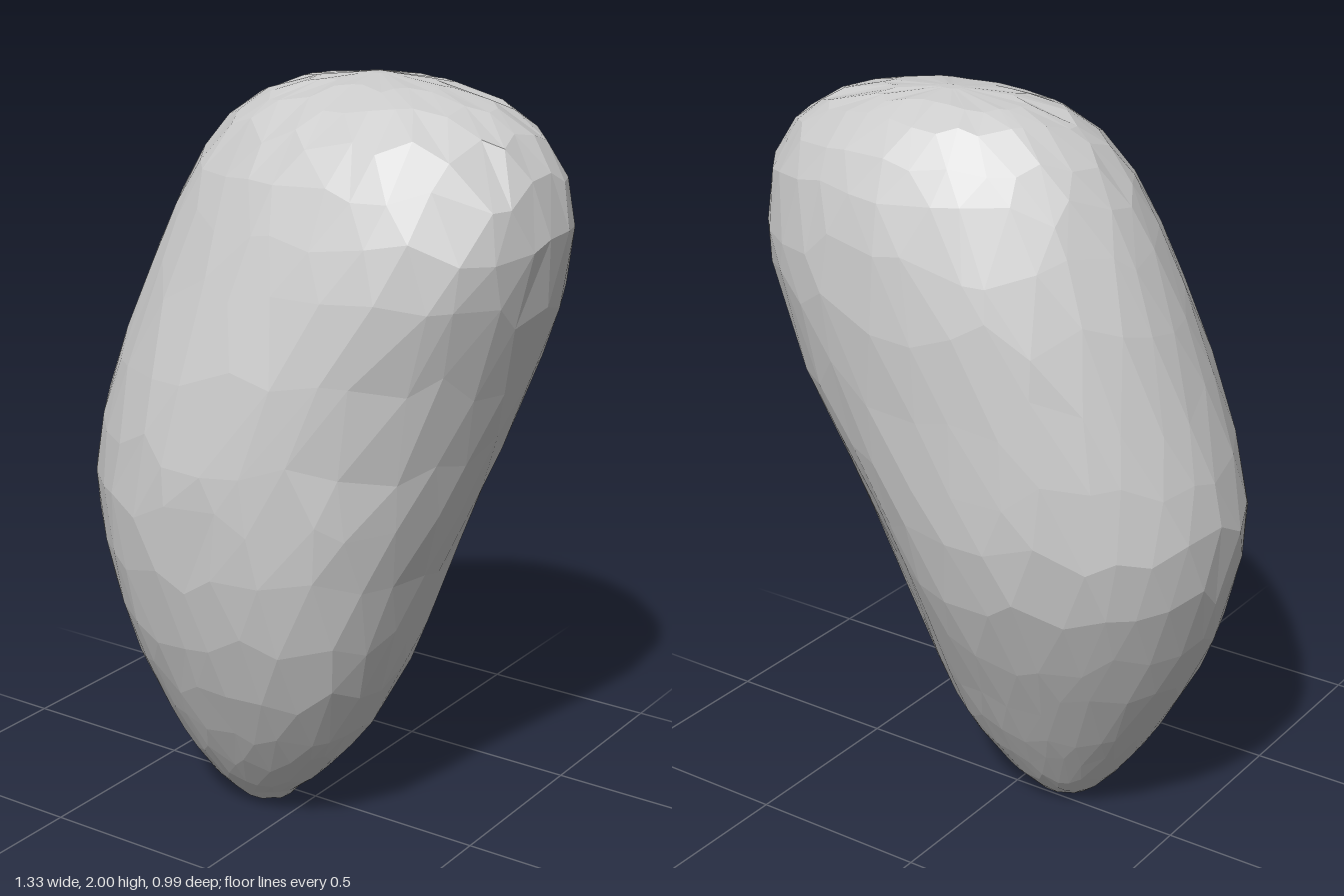
import * as THREE from 'three';

// Cross-sections from the tip up: y, right x, left x, front z, back z
const SECTIONS = [
  [0.00, -0.15, -0.09, 0.08, 0.03],
  [0.012, -0.20, -0.05, 0.12, -0.01],
  [0.05, -0.245, -0.02, 0.155, -0.05],
  [0.10, -0.29, 0.045, 0.205, -0.095],
  [0.20, -0.365, 0.135, 0.275, -0.16],
  [0.30, -0.43, 0.21, 0.33, -0.22],
  [0.45, -0.52, 0.288, 0.40, -0.295],
  [0.60, -0.585, 0.338, 0.452, -0.37],
  [0.80, -0.65, 0.398, 0.49, -0.45],
  [0.95, -0.67, 0.458, 0.497, -0.475],
  [1.10, -0.638, 0.513, 0.49, -0.485],
  [1.30, -0.57, 0.583, 0.45, -0.49],
  [1.50, -0.495, 0.645, 0.385, -0.497],
  [1.65, -0.43, 0.665, 0.335, -0.48],
  [1.78, -0.365, 0.64, 0.28, -0.445],
  [1.88, -0.29, 0.57, 0.21, -0.395],
  [1.95, -0.20, 0.45, 0.11, -0.335],
  [1.985, -0.09, 0.30, 0.01, -0.265],
  [2.00, 0.07, 0.13, -0.12, -0.16],
];
const SEGMENTS = 30;

// Smooth swelling of a given height around a level of the rock
const hump = (y, level, reach, height) =>
  height * Math.max(0, 1 - ((y - level) / reach) ** 2);

// Small seeded generator for the irregular facets
function seeded(seed) {
  return () => {
    seed = (seed * 16807) % 2147483647;
    return seed / 2147483647 - 0.5;
  };
}

// Fullness of the corner between two neighbouring extremes
function cornerFullness(y, left, front) {
  if (left && front) return hump(y, 0.55, 0.55, 0.12) + hump(y, 1.72, 0.4, 0.1);
  if (left) return hump(y, 0.7, 0.5, -0.13);
  return front ? hump(y, 0.75, 0.7, -0.06) : 0;
}

// Point on the skin at section position t and angle a
function skin(t, a) {
  const i = Math.min(Math.floor(t), SECTIONS.length - 2);
  const [y, x0, x1, z1, z0] = SECTIONS[i].map((v, k) =>
    THREE.MathUtils.lerp(v, SECTIONS[i + 1][k], t - i));
  // The widest line sits further back around the belly
  const cx = (x0 + x1) / 2;
  const cz = (z0 + z1) / 2 - hump(y, 0.95, 0.75, 0.055);
  const c = Math.cos(a), s = Math.sin(a);
  const f = 1 + cornerFullness(y, c > 0, s > 0) * Math.sin(2 * a) ** 2;
  return [cx + f * c * (x1 - x0) / 2, y, cz + f * s * (s > 0 ? z1 - cz : cz - z0)];
}

function boulderGeometry() {
  const rand = seeded(41);
  const rows = SECTIONS.length;
  const points = [];
  const index = [];
  for (let r = 0; r < rows; r++) {
    const jitter = r > 0 && r < rows - 1 ? 0.55 : 0;
    for (let j = 0; j < SEGMENTS; j++) {
      const t = r + rand() * jitter;
      const a = (j + (r % 2) * 0.5 + rand() * jitter) / SEGMENTS * Math.PI * 2;
      points.push(...skin(t, a));
    }
  }
  // Skin between neighbouring rings
  for (let r = 0; r < rows - 1; r++) {
    for (let j = 0; j < SEGMENTS; j++) {
      const k = (j + 1) % SEGMENTS;
      const a = r * SEGMENTS + j, b = r * SEGMENTS + k;
      const c = a + SEGMENTS, d = b + SEGMENTS;
      if (r % 2) index.push(a, c, d, a, d, b);
      else index.push(a, c, b, b, c, d);
    }
  }
  // Closing fans at the tip and the crown
  const last = (rows - 1) * SEGMENTS;
  for (let j = 1; j < SEGMENTS - 1; j++) {
    index.push(0, j, j + 1, last, last + j + 1, last + j);
  }
  const geometry = new THREE.BufferGeometry();
  geometry.setAttribute('position', new THREE.Float32BufferAttribute(points, 3));
  geometry.setIndex(index);
  geometry.computeVertexNormals();
  return geometry;
}

export function createModel() {
  const group = new THREE.Group();
  group.name = 'rock';
  const material = new THREE.MeshStandardMaterial({ color: 0xcccccc, flatShading: true });
  const boulder = new THREE.Mesh(boulderGeometry(), material);
  boulder.name = 'boulder';
  group.add(boulder);
  return group;
}
